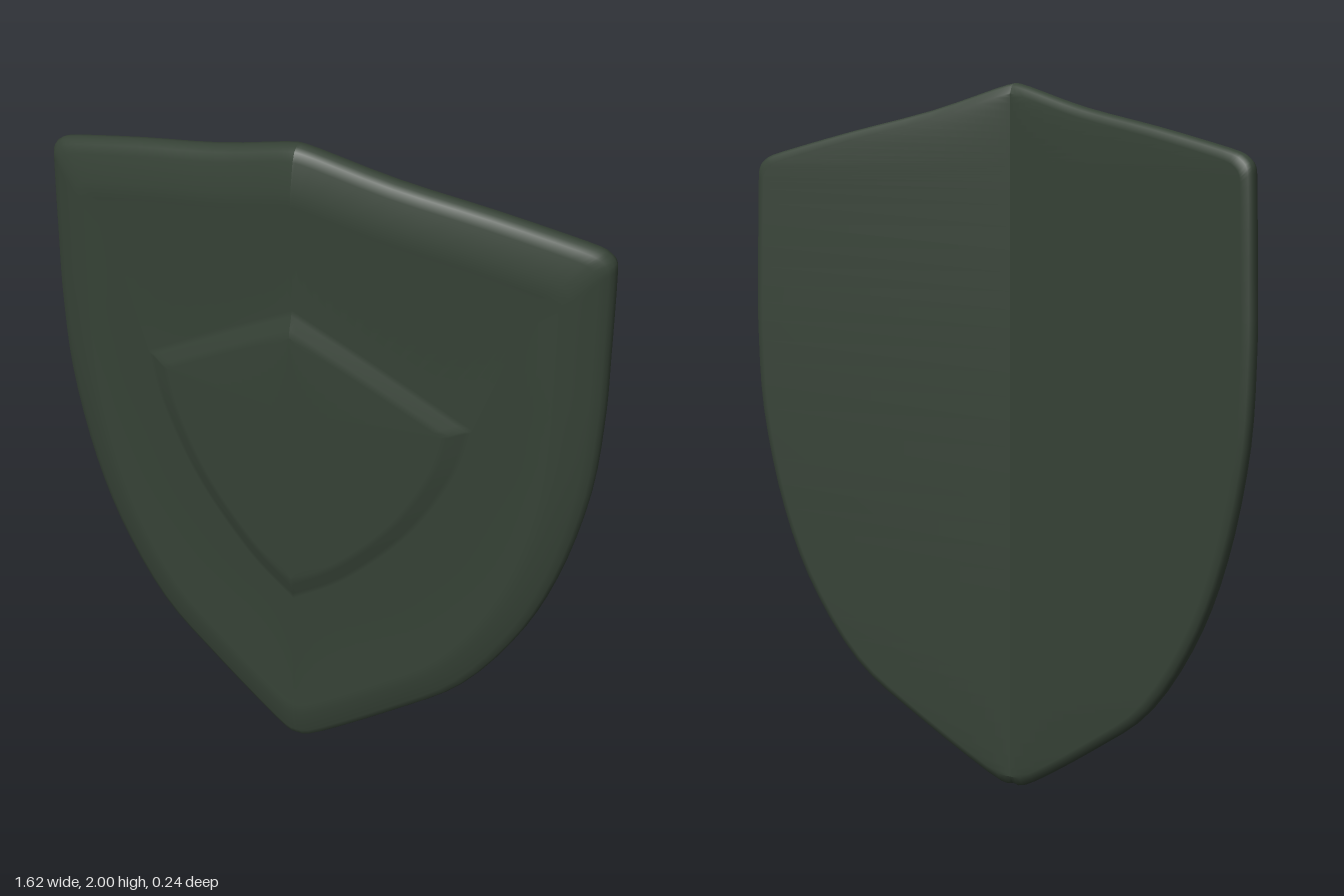
import * as THREE from 'three';

// Half outline, sampled as a top edge followed by a side edge
function halfOutline(top, side) {
  const curve = (pts, n) => new THREE.SplineCurve(pts.map(([x, y]) => new THREE.Vector2(x, y))).getPoints(n);
  return [...curve(top, 15), ...curve(side, 40).slice(1)];
}

const outline = halfOutline(
  [[0, 2], [0.05, 1.988], [0.25, 1.928], [0.5, 1.872], [0.72, 1.817], [0.77, 1.8]],
  [[0.77, 1.8], [0.795, 1.775], [0.801, 1.72], [0.807, 1.5], [0.81, 1.3], [0.795, 1.05],
    [0.735, 0.77], [0.64, 0.53], [0.49, 0.31], [0.3, 0.165], [0.06, 0.012], [0, 0]]);

const emblem = halfOutline(
  [[0, 1.53], [0.2, 1.41], [0.47, 1.24]],
  [[0.47, 1.24], [0.43, 1.08], [0.32, 0.87], [0.15, 0.68], [0, 0.58]]);

// Ring helpers: inset the outline, scale the emblem, flatten onto the fold line
const inset = (d, t) => ({ t, pts: outline.map(p => [p.x * (1 - d / 0.81), 1 + (p.y - 1) * (1 - (d < 0.05 ? 1 : 1.25) * d)]) });
const raised = (k, t) => ({ t, pts: emblem.map(p => [p.x * k, 1.08 + (p.y - 1.08) * k]) });
const folded = ring => ({ t: ring.t, pts: ring.pts.map(([, y]) => [0, y]) });

// Loft one half from the back fold line, round the rim, to the front fold line
function halfShell(sign) {
  const back = inset(0.03, 0), face = raised(0.86, 0.099);
  const rings = [
    folded(back), back, inset(0.01, 0.008), inset(0.002, 0.02), inset(0, 0.034), inset(0.003, 0.048),
    inset(0.012, 0.06), inset(0.035, 0.071), inset(0.09, 0.085), inset(0.125, 0.086), inset(0.17, 0.081),
    raised(1.03, 0.081), raised(0.99, 0.084), raised(0.91, 0.096), face, folded(face)];
  const n = outline.length, pos = [], index = [];
  for (const { t, pts } of rings)
    for (const [x, y] of pts) pos.push(sign * x, y, 0.02 + t - 0.18 * x);
  for (let i = 0; i < rings.length - 1; i++)
    for (let j = 0; j < n - 1; j++) {
      const a = i * n + j, b = a + 1, c = a + n, d = c + 1;
      if (sign > 0) index.push(a, c, b, b, c, d);
      else index.push(a, b, c, b, d, c);
    }
  const geo = new THREE.BufferGeometry();
  geo.setAttribute('position', new THREE.Float32BufferAttribute(pos, 3));
  geo.setIndex(index);
  geo.computeVertexNormals();
  return geo;
}

export function createModel() {
  const group = new THREE.Group();
  group.name = 'shield';
  const green = new THREE.MeshStandardMaterial({ color: 0x364236 });
  green.name = 'dark green';
  for (const [name, sign] of [['leftHalf', 1], ['rightHalf', -1]]) {
    const mesh = new THREE.Mesh(halfShell(sign), green);
    mesh.name = name;
    group.add(mesh);
  }
  return group;
}
